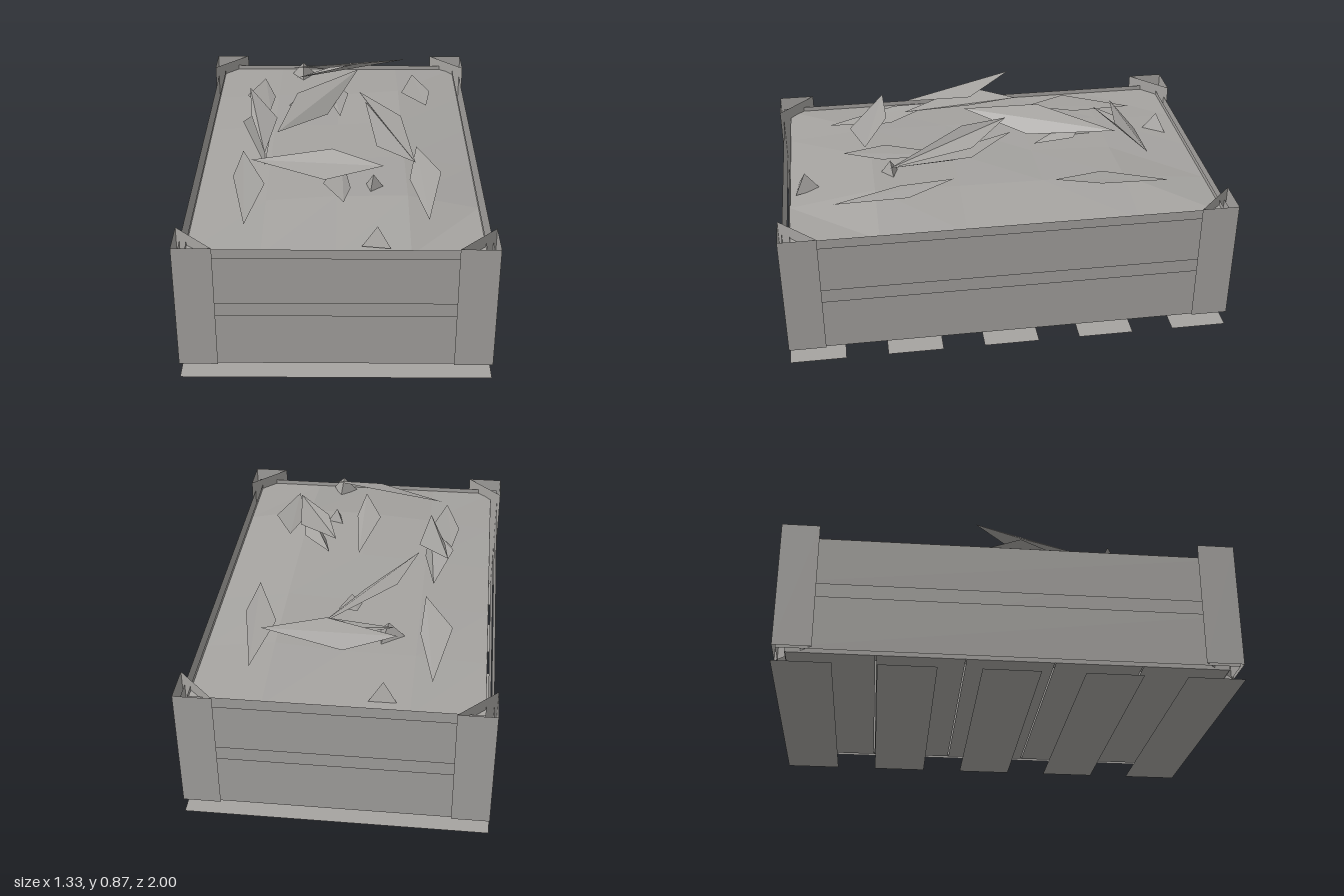
import * as THREE from 'three';

export function createModel() {
  const model = new THREE.Group();
  model.name = 'plantedCrate';
  const weatheredGrey = new THREE.MeshStandardMaterial({ color: 0xa5a3a0 });
  weatheredGrey.name = 'weatheredGrey';
  weatheredGrey.flatShading = true;
  weatheredGrey.side = THREE.DoubleSide;

  const add = (geometry, name, parent = model) => {
    const mesh = new THREE.Mesh(geometry, weatheredGrey);
    mesh.name = name;
    parent.add(mesh);
    return mesh;
  };

  // Builds a faceted sheet from triangles given as lists of [x, y, z] corners
  const sheet = (corners) => {
    const g = new THREE.BufferGeometry();
    g.setAttribute('position', new THREE.Float32BufferAttribute(corners.flat(), 3));
    g.computeVertexNormals();
    return g;
  };
  const quad = (a, b, c, d) => sheet([a, b, c, a, c, d]);

  // Five open slats under the crate, with floor boards above the gaps
  for (let i = 0; i < 5; i++) {
    const slat = add(new THREE.PlaneGeometry(1.33, 0.25).rotateX(-Math.PI / 2), 'bottomSlat');
    slat.position.z = -0.875 + i * 0.4375;
  }
  for (let i = 0; i < 5; i++) {
    const board = add(new THREE.PlaneGeometry(1.232, 0.375).rotateX(Math.PI / 2), 'floorBoard');
    board.position.set(0, 0.062, -0.76 + i * 0.38);
  }

  // Walls: thin outer boards with an open gap, and a taller liner set inside them
  const wallStrip = (name, y0, y1, x, z) => {
    for (const s of [1, -1]) {
      add(quad([-s * x, y0, s * z], [s * x, y0, s * z], [s * x, y1, s * z], [-s * x, y1, s * z]), name + 'End');
      add(quad([s * x, y0, s * z], [s * x, y0, -s * z], [s * x, y1, -s * z], [s * x, y1, s * z]), name + 'Side');
    }
  };
  wallStrip('lowerBoard', 0.065, 0.31, 0.65, 0.985);
  wallStrip('upperBoard', 0.37, 0.59, 0.65, 0.985);
  wallStrip('liner', 0.062, 0.61, 0.616, 0.95);

  // Hollow three-sided corner posts
  for (const sx of [1, -1]) for (const sz of [1, -1]) {
    const plan = [[0.5, 1], [0.665, 1], [0.665, 0.835]];
    if (sx * sz < 0) plan.reverse();
    const corners = [];
    plan.forEach(([px, pz], i) => {
      const [qx, qz] = plan[(i + 1) % 3];
      const a = [sx * px, 0.07, sz * pz], b = [sx * qx, 0.07, sz * qz];
      const c = [b[0], 0.645, b[2]], d = [a[0], 0.645, a[2]];
      corners.push(a, b, c, a, c, d);
    });
    add(sheet(corners), 'cornerPost');
  }

  // Gently mounded filling
  const soil = new THREE.PlaneGeometry(1.232, 1.9, 4, 5).rotateX(-Math.PI / 2);
  const p = soil.attributes.position;
  for (let i = 0; i < p.count; i++) {
    const x = p.getX(i), z = p.getZ(i);
    const edge = Math.abs(x) > 0.55 || Math.abs(z) > 0.9;
    p.setY(i, edge ? 0.588 : 0.627 + 0.025 * z + 0.04 * x + 0.006 * Math.sin(9 * x + 13 * z));
  }
  add(soil.toNonIndexed(), 'soil').geometry.computeVertexNormals();

  // A leaf is a folded kite: base, tip, and two side corners
  const leaves = new THREE.Group();
  leaves.name = 'leaves';
  model.add(leaves);
  const leaf = (base, tip, sideA, sideB) => {
    const flip = (tip[0] - base[0]) * (sideA[2] - base[2]) - (tip[2] - base[2]) * (sideA[0] - base[0]) > 0;
    const [l, r] = flip ? [sideB, sideA] : [sideA, sideB];
    add(sheet([base, tip, l, base, r, tip]), 'leaf', leaves);
  };

  // Low leaves near the four corners: side, end, and how far out the tip lies
  for (const [sx, sz, tipX] of [[1, 1, 0.36], [1, -1, 0.43], [-1, 1, 0.43], [-1, -1, 0.33]]) {
    const y = sx > 0 ? 0.68 : 0.655;
    leaf([sx * 0.39, y - 0.04, sz * 0.76], [sx * tipX, y + 0.03, sz * 0.22],
      [sx * 0.46, y + 0.01, sz * 0.43], [sx * 0.32, y - 0.01, sz * 0.46]);
  }

  // Tall leaves arching over the middle
  leaf([-0.37, 0.78, 0.49], [0.2, 0.81, 0.6], [-0.02, 0.835, 0.49], [-0.05, 0.775, 0.66]);
  leaf([-0.23, 0.74, -0.62], [0.35, 0.77, -0.66], [0, 0.7, -0.69], [0.08, 0.78, -0.57]);
  leaf([-0.21, 0.72, -0.53], [0.35, 0.77, -0.66], [-0.05, 0.74, -0.62], [0.08, 0.78, -0.57]);
  leaf([-0.28, 0.72, 0.1], [0.1, 0.75, -0.57], [-0.2, 0.76, -0.25], [-0.05, 0.68, -0.18]);
  leaf([0.1, 0.86, -0.05], [0.34, 0.775, 0.5], [0.29, 0.82, 0.13], [0.16, 0.865, 0.16]);
  leaf([0.13, 0.8, -0.07], [0.34, 0.775, 0.5], [0.27, 0.76, 0.13], [0.18, 0.7, 0.2]);
  leaf([-0.42, 0.84, -0.14], [-0.32, 0.76, 0.39], [-0.28, 0.78, 0.07], [-0.4, 0.79, 0.07]);
  leaf([-0.36, 0.72, -0.17], [-0.32, 0.7, 0.39], [-0.31, 0.72, 0.07], [-0.44, 0.76, 0.07]);
  leaf([0.02, 0.64, 0.19], [0.03, 0.69, 0.7], [-0.06, 0.67, 0.5], [0.06, 0.66, 0.52]);
  leaf([-0.04, 0.74, -0.45], [0.01, 0.66, -0.2], [-0.05, 0.7, -0.33], [0.05, 0.7, -0.38]);

  // Small three-sided shoots: x, z, radius, height of the middle
  const shoots = [[-0.19, -0.85, 0.07, 0.63], [0.17, 0.88, 0.07, 0.64], [0.16, 0.49, 0.055, 0.67], [-0.18, -0.44, 0.08, 0.64]];
  shoots.forEach(([x, z, r, y], i) => {
    const shoot = add(new THREE.ConeGeometry(r, 0.08, 3, 1, true), 'shoot', leaves);
    shoot.position.set(x, y, z);
    shoot.rotation.y = i * 0.9;
  });

  return model;
}
